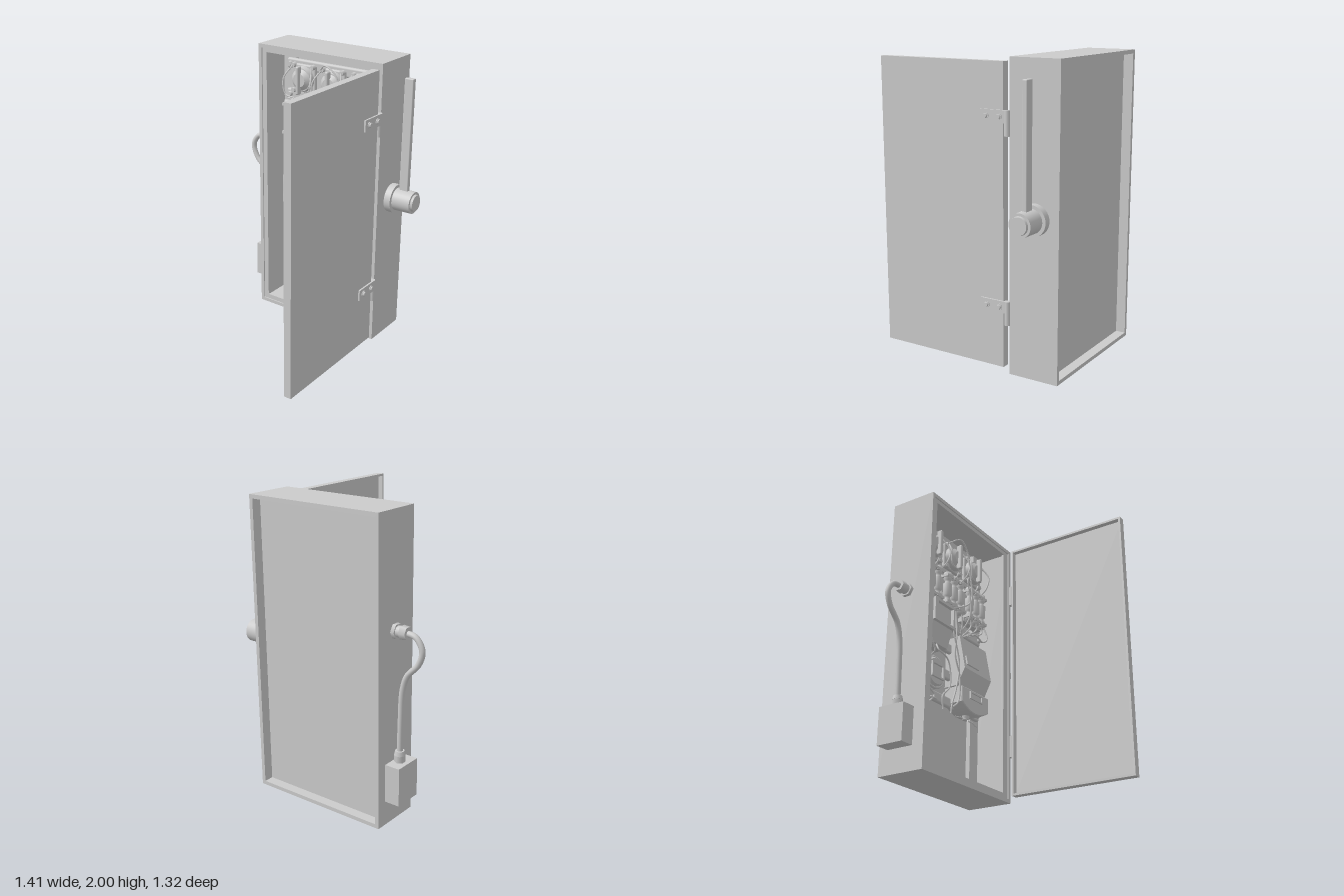
import * as THREE from 'three';
import { RoundedBoxGeometry } from 'three/addons/geometries/RoundedBoxGeometry.js';

const grey = new THREE.MeshStandardMaterial({ color: 0xcccccc });
const V = (p) => new THREE.Vector3(...p);

function add(parent, name, geo, x = 0, y = 0, z = 0) {
  const m = new THREE.Mesh(geo, grey);
  m.name = name;
  m.position.set(x, y, z);
  parent.add(m);
  return m;
}

// box given by its limits on each axis
function box(parent, name, [x0, x1], [y0, y1], [z0, z1], round = 0) {
  const s = [x1 - x0, y1 - y0, z1 - z0];
  const geo = round ? new RoundedBoxGeometry(...s, 2, round) : new THREE.BoxGeometry(...s);
  return add(parent, name, geo, (x0 + x1) / 2, (y0 + y1) / 2, (z0 + z1) / 2);
}

// cylinder along an axis; r1 is the radius at the positive end
function cyl(parent, name, axis, r0, r1, len, x, y, z, sides = 24) {
  const geo = new THREE.CylinderGeometry(r1, r0, len, sides);
  if (axis === 'x') geo.rotateZ(-Math.PI / 2);
  if (axis === 'z') geo.rotateX(Math.PI / 2);
  return add(parent, name, geo, x, y, z);
}

function tube(parent, name, pts, r, seg = 40, sides = 6) {
  return add(parent, name, new THREE.TubeGeometry(new THREE.CatmullRomCurve3(pts.map(V)), seg, r, sides));
}

// rectangular ring in the xy plane, from z0 to z1
function frame(parent, name, outer, inner, z0, z1) {
  const rect = (P, [a, b, c, d]) => {
    const p = new P();
    p.moveTo(a, c); p.lineTo(b, c); p.lineTo(b, d); p.lineTo(a, d); p.closePath();
    return p;
  };
  const s = rect(THREE.Shape, outer);
  s.holes.push(rect(THREE.Path, inner));
  return add(parent, name, new THREE.ExtrudeGeometry(s, { depth: z1 - z0, bevelEnabled: false }), 0, 0, z0);
}

// side profile of [z, y] points extruded from x0 to x1
function profile(parent, name, pts, x0, x1) {
  const s = new THREE.Shape(pts.map((p) => new THREE.Vector2(...p)));
  const geo = new THREE.ExtrudeGeometry(s, { depth: x1 - x0, bevelEnabled: false });
  return add(parent, name, geo.rotateY(-Math.PI / 2), x1);
}

function group(parent, name) {
  const g = new THREE.Group();
  g.name = name;
  parent.add(g);
  return g;
}

function buildCabinet(root) {
  const g = group(root, 'cabinet');
  frame(g, 'cabinetWalls', [-0.487, 0.511, 0, 2], [-0.461, 0.485, 0.026, 1.974], -0.663, -0.316);
  frame(g, 'frontLip', [-0.465, 0.489, 0.022, 1.978], [-0.425, 0.43, 0.06, 1.945], -0.345, -0.325);
  box(g, 'backPanel', [-0.465, 0.489], [0.022, 1.978], [-0.596, -0.582]);
  for (const x of [-0.367, 0.375]) box(g, 'uprightRail', [x - 0.033, x + 0.033], [0.04, 1.96], [-0.582, -0.55]);
  for (const y of [1.84, 1.62, 1.235, 1.045, 0.84, 0.64]) {
    box(g, 'crossRail', [-0.395, 0.412], [y - 0.037, y + 0.037], [-0.555, -0.52], 0.015);
    for (const x of [-0.36, 0.385]) cyl(g, 'railBolt', 'z', 0.02, 0.014, 0.02, x, y, -0.512, 8);
  }
}

function buildDoor(root) {
  const g = group(root, 'door');
  box(g, 'doorSkin', [0.498, 0.513], [0.037, 1.97], [-0.273, 0.66]);
  // folded edges facing the inside
  for (const y of [0.037, 1.955]) box(g, 'doorEdge', [0.46, 0.5], [y, y + 0.015], [-0.273, 0.66]);
  for (const z of [-0.273, 0.645]) box(g, 'doorEdge', [0.46, 0.5], [0.037, 1.97], [z, z + 0.015]);
  for (const y of [1.682, 0.482]) {
    const h = group(g, 'hinge');
    box(h, 'hingeLeaf', [0.511, 0.525], [y - 0.078, y], [-0.3, -0.11]);
    cyl(h, 'hingeKnuckle', 'y', 0.02, 0.02, 0.157, 0.507, y - 0.0785, -0.3, 16);
    for (const z of [-0.155, -0.25]) {
      cyl(h, 'hingeWasher', 'x', 0.021, 0.021, 0.006, 0.527, y - 0.039, z, 16);
      cyl(h, 'hingeBolt', 'x', 0.018, 0.015, 0.016, 0.533, y - 0.039, z, 6);
    }
  }
}

function buildLever(root) {
  const g = group(root, 'switchLever');
  const [y, z] = [1.038, -0.498];
  cyl(g, 'leverFlange', 'x', 0.1, 0.1, 0.05, 0.533, y, z, 32);
  cyl(g, 'leverHub', 'x', 0.078, 0.076, 0.135, 0.622, y, z, 32);
  cyl(g, 'leverCap', 'x', 0.06, 0.056, 0.02, 0.695, y, z, 32);
  box(g, 'leverArm', [0.577, 0.642], [1.08, 1.885], [-0.517, -0.483], 0.006);
}

function buildConduit(root) {
  const g = group(root, 'conduit');
  box(g, 'junctionBox', [-0.592, -0.485], [0.165, 0.42], [-0.595, -0.4]);
  cyl(g, 'lowerGland', 'y', 0.036, 0.036, 0.05, -0.53, 0.445, -0.5, 6);
  cyl(g, 'lowerGlandNut', 'y', 0.036, 0.03, 0.03, -0.53, 0.48, -0.5, 12);
  cyl(g, 'upperGland', 'x', 0.05, 0.05, 0.025, -0.5, 1.27, -0.5, 6);
  cyl(g, 'upperGlandNeck', 'x', 0.036, 0.036, 0.04, -0.528, 1.27, -0.5, 16);
  cyl(g, 'upperGlandNut', 'x', 0.042, 0.046, 0.045, -0.562, 1.27, -0.5, 6);
  tube(g, 'conduitPipe', [[-0.56, 1.27, -0.5], [-0.64, 1.255, -0.5], [-0.686, 1.18, -0.5], [-0.66, 1.09, -0.5],
    [-0.58, 1, -0.5], [-0.547, 0.9, -0.5], [-0.535, 0.7, -0.5], [-0.53, 0.48, -0.5]], 0.019, 64, 12);
}

function buildRotarySwitch(root, x) {
  const g = group(root, 'rotarySwitch');
  const y = 1.75;
  box(g, 'switchBase', [x - 0.1, x + 0.1], [y - 0.1, y + 0.1], [-0.53, -0.5], 0.012);
  cyl(g, 'switchBody', 'z', 0.092, 0.082, 0.04, x, y, -0.485, 28);
  cyl(g, 'switchDome', 'z', 0.078, 0.048, 0.025, x, y, -0.455, 28);
  box(g, 'switchHandle', [x - 0.013, x + 0.013], [y - 0.1, y + 0.1], [-0.46, -0.415], 0.01);
  for (const s of [-1, 1]) for (const t of [-1, 1])
    cyl(g, 'switchTerminal', 'z', 0.02, 0.016, 0.03, x + s * 0.08, y + t * 0.09, -0.495, 8);
}

function buildFuseBank(root, x) {
  const g = group(root, 'fuseBank');
  box(g, 'fuseBase', [x - 0.112, x + 0.112], [1.31, 1.59], [-0.55, -0.5]);
  const pts = [[0, 0], [0.03, 0], [0.03, 0.05], [0.02, 0.06], [0.02, 0.08], [0.033, 0.09], [0.033, 0.18],
    [0.02, 0.19], [0.02, 0.21], [0.03, 0.22], [0.03, 0.27], [0, 0.27]];
  const geo = new THREE.LatheGeometry(pts.map((p) => new THREE.Vector2(...p)), 16);
  for (const i of [-1, 0, 1]) {
    const fx = x + i * 0.076;
    add(g, 'fuse', geo, fx, 1.315, -0.475);
    for (const y of [1.335, 1.545]) box(g, 'fuseClip', [fx - 0.036, fx + 0.036], [y, y + 0.02], [-0.51, -0.445]);
  }
}

function buildInstruments(root) {
  const g = group(root, 'instruments');

  // hooded relay with a framed window
  profile(g, 'relayBody', [[-0.56, 0.98], [-0.46, 0.98], [-0.42, 1.11], [-0.42, 1.28], [-0.56, 1.28]], -0.31, -0.08);
  frame(g, 'relayWindow', [-0.31, -0.08, 1.11, 1.28], [-0.275, -0.1, 1.13, 1.26], -0.42, -0.395);

  // transformer with sloped faces
  profile(g, 'transformerBody', [[-0.57, 0.76], [-0.46, 0.76], [-0.4, 0.88], [-0.45, 1.13], [-0.57, 1.13]], 0.053, 0.38);
  box(g, 'transformerPlate', [0.08, 0.225], [0.91, 0.98], [-0.425, -0.402]).rotation.x = -0.2;
  cyl(g, 'transformerInlet', 'y', 0.03, 0.024, 0.04, 0.115, 1.145, -0.5, 12);

  // meter with a rounded lower edge
  const s = new THREE.Shape();
  s.moveTo(0.065, 0.745);
  s.lineTo(0.065, 0.64);
  s.quadraticCurveTo(0.22, 0.54, 0.375, 0.64);
  s.lineTo(0.375, 0.745);
  s.closePath();
  add(g, 'meterBody', new THREE.ExtrudeGeometry(s, { depth: 0.115, bevelSize: 0.008, bevelThickness: 0.02, bevelSegments: 2 }), 0, 0, -0.555);
  frame(g, 'meterWindow', [0.145, 0.295, 0.68, 0.735], [0.157, 0.283, 0.69, 0.725], -0.425, -0.41);
  cyl(g, 'meterOutlet', 'y', 0.022, 0.03, 0.04, 0.215, 0.575, -0.5, 12);

  // round gauge
  cyl(g, 'gaugeBody', 'z', 0.114, 0.114, 0.1, -0.23, 0.755, -0.5, 32);
  cyl(g, 'gaugeFace', 'z', 0.11, 0.09, 0.025, -0.23, 0.755, -0.438, 32);
  add(g, 'gaugeRim', new THREE.TorusGeometry(0.108, 0.01, 8, 32), -0.23, 0.755, -0.45);
  frame(g, 'gaugeWindow', [-0.295, -0.165, 0.705, 0.81], [-0.283, -0.177, 0.717, 0.798], -0.43, -0.41);
  cyl(g, 'gaugeNeck', 'y', 0.03, 0.045, 0.06, -0.23, 0.622, -0.5, 12);
  cyl(g, 'gaugeTopLug', 'y', 0.05, 0.03, 0.04, -0.23, 0.88, -0.5, 12);
}

function buildWires(root) {
  const g = group(root, 'wiring');
  const z = -0.425;
  const wire = (pts, r = 0.006) => tube(g, 'wire', pts.map(([x, y, d = z]) => [x, y, d]), r);
  // loops around each rotary switch
  for (const x of [-0.235, 0.01, 0.26]) {
    wire([[x - 0.08, 1.84, -0.48], [x - 0.12, 1.75], [x - 0.1, 1.64], [x - 0.02, 1.62], [x - 0.03, 1.56, -0.45]]);
    wire([[x + 0.08, 1.84, -0.48], [x + 0.11, 1.74], [x + 0.08, 1.63], [x + 0.05, 1.57, -0.45]]);
  }
  wire([[-0.08, 1.84, -0.48], [0, 1.89], [0.08, 1.84], [0.13, 1.66], [0.15, 1.45], [0, 1.33], [-0.14, 1.28, -0.45]]);
  wire([[0.18, 1.66, -0.45], [0.1, 1.6], [0.13, 1.48], [0.13, 1.3], [0.1, 1.16, -0.5]]);
  // fuse outlets gathered toward the transformer
  for (const x of [-0.06, 0.01, 0.08, 0.19, 0.26, 0.33])
    wire([[x, 1.33, -0.46], [x + 0.01, 1.27, -0.46], [0.115 + (x - 0.115) * 0.5, 1.2, -0.47], [0.115, 1.15, -0.5]]);
  wire([[0.36, 1.33, -0.46], [0.36, 1.22], [0.3, 1.17], [0.2, 1.19], [0.13, 1.16, -0.5]]);
  // left side runs
  wire([[-0.35, 1.33, -0.46], [-0.34, 1.2], [-0.32, 1.0], [-0.26, 0.9], [-0.23, 0.88, -0.5]]);
  wire([[-0.27, 1.33, -0.46], [-0.34, 1.1], [-0.35, 0.8], [-0.32, 0.63], [-0.25, 0.58], [-0.3, 0.52]]);
  wire([[-0.19, 0.98, -0.47], [-0.22, 0.92], [-0.11, 0.88], [-0.08, 0.7], [-0.16, 0.6], [-0.15, 0.51]]);
  wire([[-0.06, 1.31, -0.46], [-0.05, 1.1], [0.02, 0.9], [-0.01, 0.7], [-0.05, 0.58], [-0.06, 0.51]]);
  wire([[0.01, 1.31, -0.46], [-0.02, 1.1], [-0.03, 0.95], [0.03, 0.8], [0.02, 0.62], [-0.04, 0.56]]);
  wire([[-0.23, 0.6, -0.49], [-0.22, 0.56], [-0.3, 0.55], [-0.31, 0.51]]);
  // loose ends under the meter
  for (const x of [0.02, 0.1, 0.17, 0.26, 0.28])
    wire([[0.215, 0.565, -0.5], [0.21, 0.545, -0.48], [(x + 0.2) / 2, 0.535, -0.46], [x, 0.515, -0.45]], 0.005);
}

export function createModel() {
  const root = new THREE.Group();
  root.name = 'electricalCabinet';
  buildCabinet(root);
  buildDoor(root);
  buildLever(root);
  buildConduit(root);
  for (const x of [-0.235, 0.01, 0.26]) buildRotarySwitch(root, x);
  for (const x of [-0.27, -0.003, 0.272]) buildFuseBank(root, x);
  buildInstruments(root);
  buildWires(root);
  return root;
}
